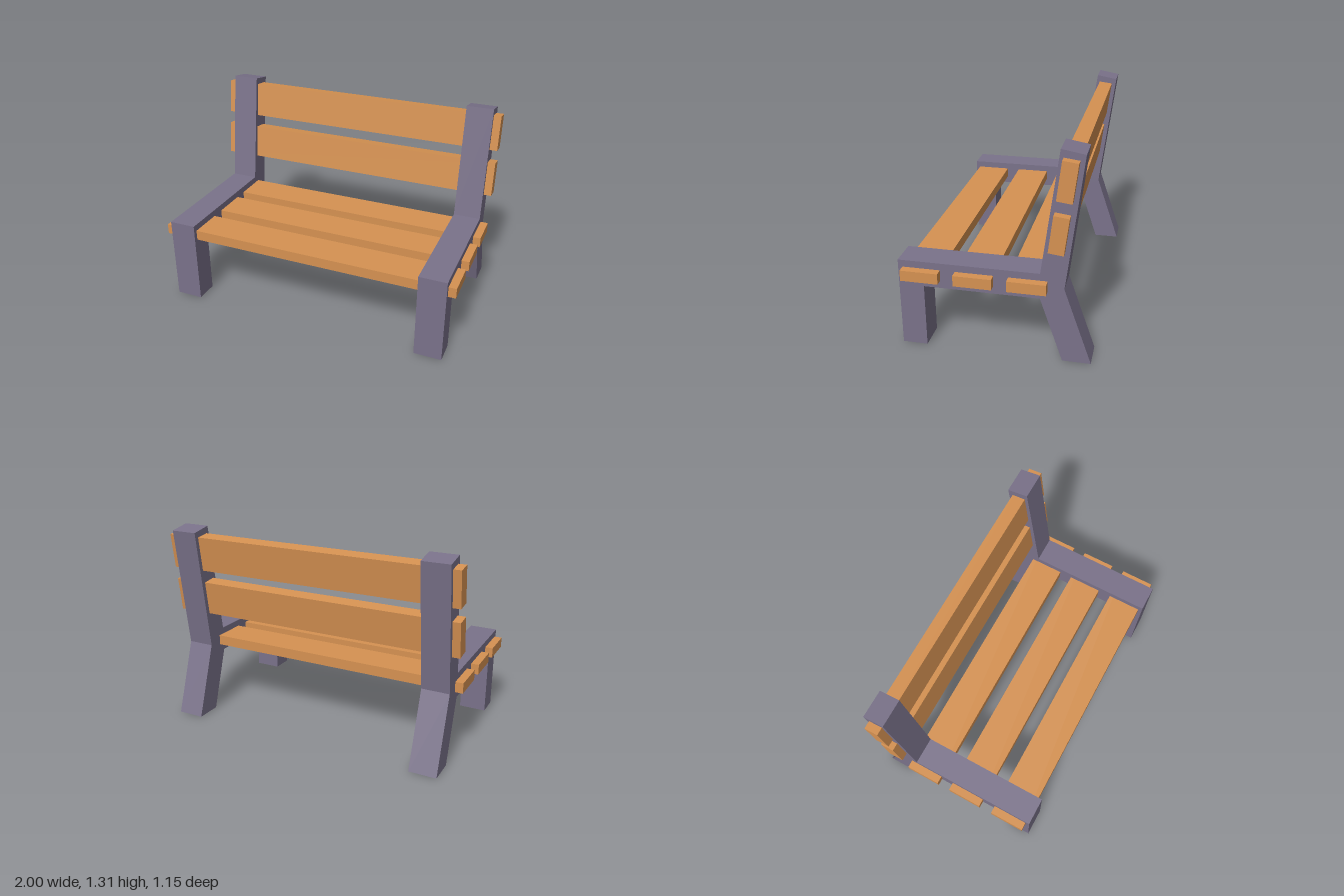
import * as THREE from 'three';

export function createModel() {
  const model = new THREE.Group();
  model.name = 'bench';
  const wood = new THREE.MeshStandardMaterial({ color: 0xd69252 });
  wood.name = 'orange wood';
  const stone = new THREE.MeshStandardMaterial({ color: 0x7a728a });
  stone.name = 'purple grey frame';

  // Side frame outline as (z, y): front leg, seat rail, backrest post, splayed back leg
  const outline = [
    [0.575, 0], [0.575, 0.562], [-0.27, 0.562], [-0.374, 1.308], [-0.511, 1.284],
    [-0.41, 0.477], [-0.575, 0], [-0.405, 0], [-0.27, 0.402], [0.423, 0.402], [0.423, 0],
  ].map(([z, y]) => new THREE.Vector2(z, y));
  const width = 0.178;
  const frameGeometry = new THREE.ExtrudeGeometry(new THREE.Shape(outline), { depth: width, bevelEnabled: false });
  frameGeometry.translate(0, 0, -width / 2);
  frameGeometry.rotateY(-Math.PI / 2);
  for (const [name, side] of [['leftFrame', 1], ['rightFrame', -1]]) {
    const frame = new THREE.Mesh(frameGeometry, stone);
    frame.name = name;
    frame.position.x = side * 0.861;
    model.add(frame);
  }

  // Slats run through both frames and stick out at the ends
  function addSlat(name, height, depth, y, z, tilt = 0) {
    const slat = new THREE.Mesh(new THREE.BoxGeometry(2, height, depth), wood);
    slat.name = name;
    slat.position.set(0, y, z);
    slat.rotation.x = -tilt;
    model.add(slat);
  }
  [0.434, 0.116, -0.2].forEach((z, i) => addSlat(`seatSlat${i + 1}`, 0.067, 0.228, 0.485, z));
  addSlat('lowerBackSlat', 0.226, 0.09, 0.829, -0.379, 0.125);
  addSlat('upperBackSlat', 0.231, 0.09, 1.141, -0.42, 0.125);

  return model;
}
